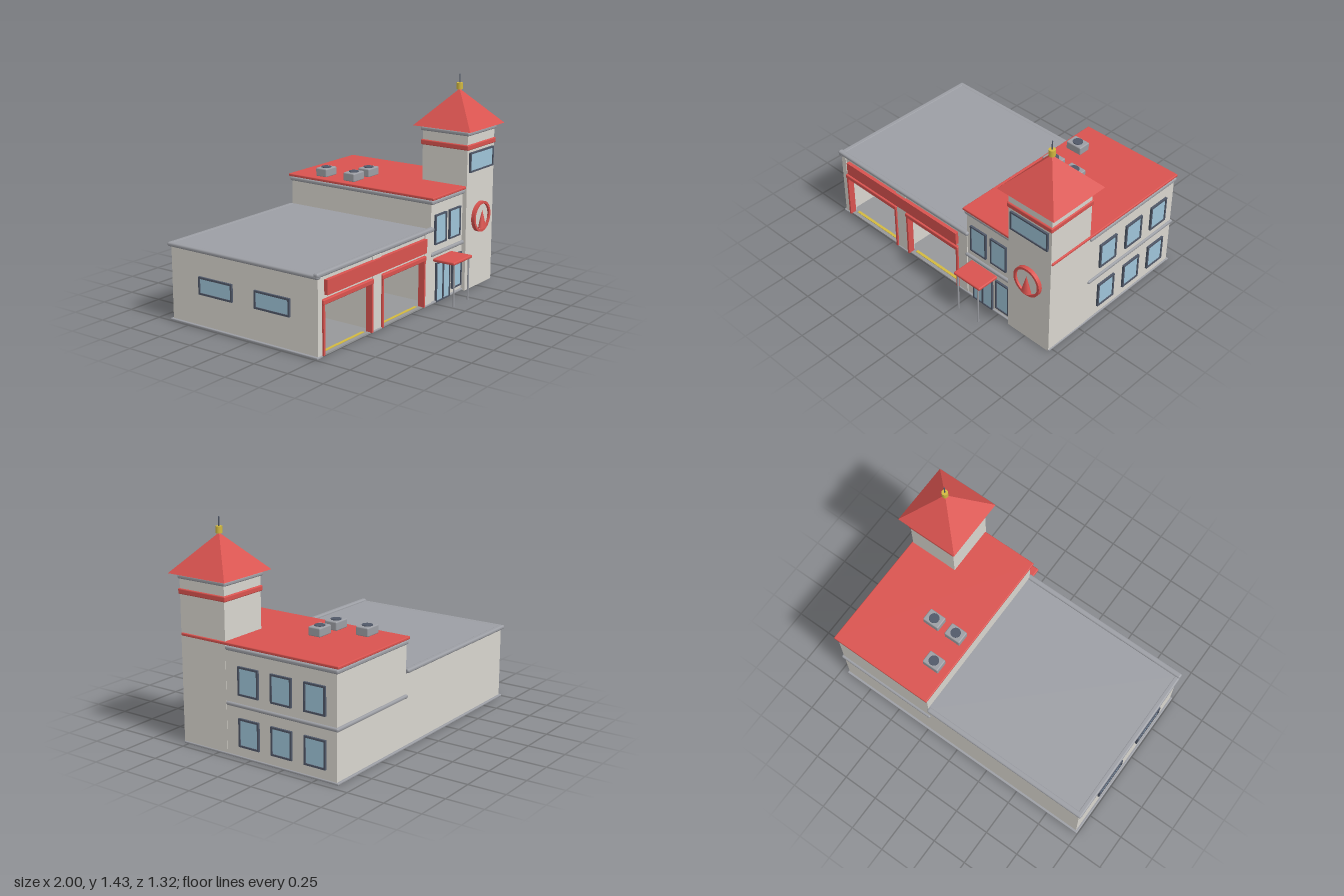
import * as THREE from 'three';
import { RoundedBoxGeometry } from 'three/addons/geometries/RoundedBoxGeometry.js';

const mat = (name, color) => {
  const m = new THREE.MeshStandardMaterial({ color });
  m.name = name;
  return m;
};

export function createModel() {
  const model = new THREE.Group();
  model.name = 'fireStation';
  const wall = mat('wallBeige', 0xd8d5ce);
  const red = mat('red', 0xd9534f);
  const grey = mat('trimGrey', 0x9c9ea4);
  const floorGrey = mat('floorGrey', 0x97989a);
  const dark = mat('frameDark', 0x505868);
  const glass = mat('glassBlue', 0x9ec4d8);
  const yellow = mat('yellow', 0xd2b940);

  const add = (name, geo, material, x = 0, y = 0, z = 0, parent = model) => {
    const m = new THREE.Mesh(geo, material);
    m.name = name;
    m.position.set(x, y, z);
    parent.add(m);
    return m;
  };
  // Boxes given by their limits; r rounds the edges
  const box = (name, material, x0, x1, y0, y1, z0, z1, r = 0) => {
    const s = [x1 - x0, y1 - y0, z1 - z0];
    const geo = r ? new RoundedBoxGeometry(...s, 3, r) : new THREE.BoxGeometry(...s);
    return add(name, geo, material, (x0 + x1) / 2, (y0 + y1) / 2, (z0 + z1) / 2);
  };
  const rect = (P, x0, x1, y0, y1) => {
    const p = new P();
    p.moveTo(x0, y0); p.lineTo(x1, y0); p.lineTo(x1, y1); p.lineTo(x0, y1);
    p.closePath();
    return p;
  };
  const extrude = (shape, depth) =>
    new THREE.ExtrudeGeometry(shape, { depth, bevelEnabled: false, curveSegments: 24 });

  // Framed window lying on a wall, facing +z before turning
  const windowAt = (name, w, h, x, y, z, turn = 0, t = 0.01) => {
    const g = new THREE.Group();
    g.name = name;
    g.position.set(x, y, z);
    g.rotation.y = turn;
    const frame = rect(THREE.Shape, -w / 2, w / 2, -h / 2, h / 2);
    frame.holes.push(rect(THREE.Path, -w / 2 + t, w / 2 - t, -h / 2 + t, h / 2 - t));
    add('windowFrame', extrude(frame, 0.014), dark, 0, 0, 0, g);
    add('windowGlass', new THREE.BoxGeometry(w - t, h - t, 0.008), glass, 0, 0, 0.004, g);
    model.add(g);
    return g;
  };

  // Garage shell with two open bays
  const bays = [[-0.93, -0.445], [-0.335, 0.135]];
  const facade = new THREE.Shape();
  facade.moveTo(-0.98, 0);
  for (const [a, b] of bays) {
    facade.lineTo(a, 0); facade.lineTo(a, 0.33); facade.lineTo(b, 0.33); facade.lineTo(b, 0);
  }
  facade.lineTo(0.22, 0); facade.lineTo(0.22, 0.49); facade.lineTo(-0.98, 0.49);
  facade.closePath();
  add('garageFacade', extrude(facade, 0.04), wall, 0, 0, 0.46);
  box('garageLeftWall', wall, -0.98, -0.95, 0, 0.49, -0.64, 0.46);
  box('garageBackWall', wall, -0.95, 0.22, 0, 0.49, -0.64, -0.61);
  box('garageDivider', wall, -0.41, -0.37, 0, 0.485, -0.61, 0.46);
  box('garageRoof', grey, -0.985, 0.22, 0.485, 0.51, -0.645, 0.5);
  box('garageFrontTrim', grey, -1, 0.235, 0.495, 0.524, 0.485, 0.522, 0.012);
  box('garageSideTrim', grey, -1, -0.96, 0.485, 0.512, -0.66, 0.52, 0.012);
  box('garageBackTrim', grey, -1, 0.22, 0.485, 0.512, -0.66, -0.62, 0.012);
  for (const [a, b] of [[-0.98, -0.94], [-0.435, -0.345], [0.145, 0.222]])
    box('pilaster', wall, a, b, 0, 0.49, 0.49, 0.507);
  box('signBoard', red, -0.91, 0.14, 0.375, 0.467, 0.49, 0.525);

  // Bay floors, stripes and red surrounds
  [[-0.95, -0.41], [-0.37, 0.22]].forEach(([f0, f1], i) => {
    const [a, b] = bays[i];
    box('bayFloor', floorGrey, f0, f1, 0, 0.01, -0.61, 0.5);
    box('floorStripe', yellow, a + 0.03, b - 0.03, 0.01, 0.013, 0.455, 0.475);
    box('floorStripe', yellow, a + 0.03, b - 0.03, 0.01, 0.013, 0.03, 0.05);
    box('doorHeader', red, a - 0.01, b + 0.01, 0.32, 0.352, 0.47, 0.52, 0.006);
    for (const x of [a - 0.006, b - 0.009])
      box('doorJamb', red, x, x + 0.015, 0.008, 0.325, 0.47, 0.515);
  });

  // Base course
  box('baseLeft', grey, -0.995, -0.965, 0, 0.014, -0.655, 0.515, 0.005);
  box('baseBack', grey, -0.995, 0.955, 0, 0.014, -0.655, -0.625, 0.005);
  box('baseRight', grey, 0.93, 0.953, 0, 0.014, -0.655, 0.53, 0.005);
  for (const [a, b] of [[-0.995, -0.94], [-0.44, -0.34], [0.145, 0.28], [0.45, 0.61]])
    box('baseFront', grey, a, b, 0, 0.014, 0.49, 0.513, 0.005);

  // Two-storey office
  box('officeBody', wall, 0.22, 0.945, 0, 0.69, -0.64, 0.5);
  for (const [y0, y1] of [[0.325, 0.35], [0.672, 0.7]]) {
    box('officeTrimFront', grey, 0.212, 0.62, y0, y1, 0.47, 0.517, 0.011);
    box('officeTrimRight', grey, 0.91, 0.957, y0, y1, -0.655, 0.18, 0.011);
    box('officeTrimBack', grey, 0.212, 0.957, y0, y1, -0.655, -0.61, 0.011);
  }
  box('officeTrimLeft', grey, 0.212, 0.25, 0.672, 0.7, -0.655, 0.517, 0.011);
  box('officeRoof', red, 0.206, 0.956, 0.703, 0.722, -0.66, 0.525, 0.006);
  box('roofCore', wall, 0.225, 0.94, 0.69, 0.705, -0.635, 0.49);

  // Office windows
  windowAt('upperFrontWindow', 0.135, 0.2, 0.325, 0.497, 0.5);
  windowAt('upperFrontWindow', 0.135, 0.2, 0.498, 0.497, 0.5);
  windowAt('lowerFrontWindow', 0.115, 0.235, 0.533, 0.16, 0.5);
  for (const z of [0.004, -0.242, -0.488])
    for (const y of [0.168, 0.496])
      windowAt('sideWindow', 0.155, 0.183, 0.945, y, z, Math.PI / 2, 0.012);
  for (const z of [-0.275, 0.17])
    windowAt('garageWindow', 0.27, 0.115, -0.98, 0.275, z, -Math.PI / 2, 0.012);

  // Entrance: double door under a canopy on posts
  for (const x of [0.321, 0.403]) windowAt('doorLeaf', 0.086, 0.268, x, 0.136, 0.5, 0, 0.008);
  box('canopy', red, 0.253, 0.48, 0.284, 0.305, 0.49, 0.66, 0.008);
  for (const x of [0.278, 0.455])
    add('canopyPost', new THREE.CylinderGeometry(0.006, 0.006, 0.285, 12), grey, x, 0.1425, 0.645);

  // Rooftop cooling units
  for (const [x, z] of [[0.32, -0.42], [0.32, -0.187], [0.492, -0.187]]) {
    box('coolingUnit', grey, x - 0.06, x + 0.06, 0.72, 0.778, z - 0.045, z + 0.045, 0.008);
    add('coolingFan', new THREE.CylinderGeometry(0.034, 0.034, 0.008, 20), dark, x, 0.779, z);
  }

  // Tower
  const tx = 0.775, tz = 0.355;
  box('towerBody', wall, 0.603, 0.947, 0, 1.075, 0.18, 0.53);
  box('towerRedBand', red, 0.594, 0.955, 0.964, 1.0, 0.168, 0.541, 0.008);
  box('towerTopTrim', grey, 0.593, 0.957, 1.06, 1.088, 0.165, 0.544, 0.011);
  windowAt('towerWindow', 0.3, 0.135, tx, 0.878, 0.53, 0, 0.011);
  let roof = new THREE.ConeGeometry(0.2225 * Math.SQRT2, 0.24, 4).rotateY(Math.PI / 4).toNonIndexed();
  roof.computeVertexNormals();
  add('towerRoof', roof, red, tx, 1.216, tz);
  box('towerRoofCore', grey, 0.64, 0.91, 1.08, 1.098, 0.22, 0.49);
  add('finial', new THREE.CylinderGeometry(0.021, 0.021, 0.043, 16), yellow, tx, 1.355, tz);
  add('mast', new THREE.CylinderGeometry(0.004, 0.004, 0.07, 8), dark, tx, 1.4, tz);

  // Round emblem on the tower front
  const ring = new THREE.Shape().absarc(0, 0, 0.105, 0, Math.PI * 2);
  ring.holes.push(new THREE.Path().absarc(0, 0, 0.088, 0, Math.PI * 2, true));
  add('emblemRing', extrude(ring, 0.026), red, tx, 0.485, 0.53);
  add('emblemDisc', new THREE.CylinderGeometry(0.09, 0.09, 0.009, 32).rotateX(Math.PI / 2), wall, tx, 0.485, 0.537);
  const cone = new THREE.ConeGeometry(0.036, 0.125, 16);
  cone.scale(1, 1, 0.7);
  add('emblemCone', cone, red, tx, 0.47, 0.553);

  return model;
}
